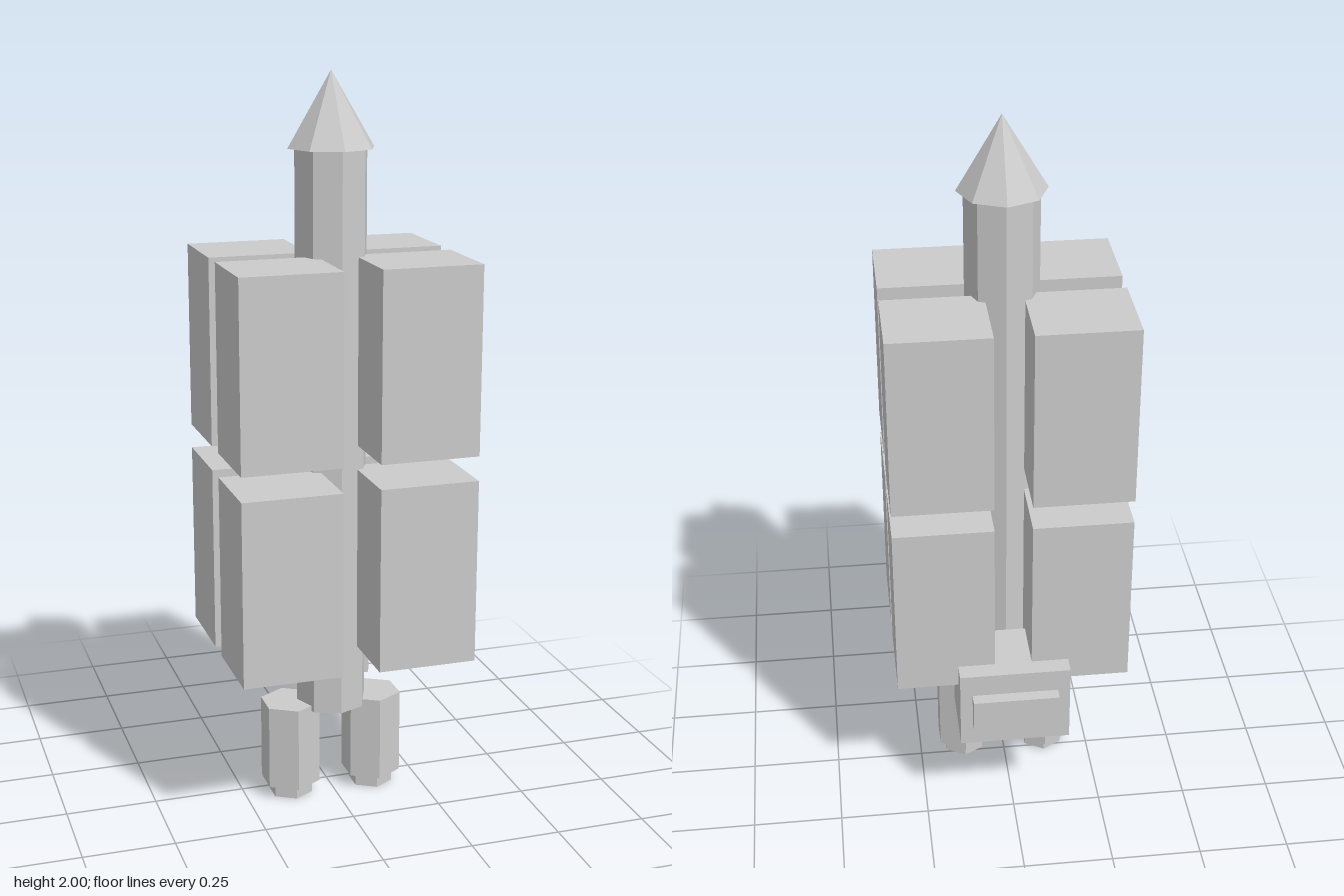
import * as THREE from 'three';

const material = new THREE.MeshStandardMaterial({ color: 0xcccccc, flatShading: true });

export function createModel() {
  const model = new THREE.Group();
  const axisZ = 0.041; // the column stands slightly forward of centre

  const add = (name, geometry, x, y, z) => {
    const mesh = new THREE.Mesh(geometry, material);
    mesh.name = name;
    mesh.position.set(x, y, z);
    model.add(mesh);
  };
  // Upright prism between two heights
  const prism = (name, radius, y0, y1, sides, x) =>
    add(name, new THREE.CylinderGeometry(radius, radius, y1 - y0, sides), x, (y0 + y1) / 2, axisZ);
  // Box between two corners
  const box = (name, [x0, y0, z0], [x1, y1, z1]) =>
    add(name, new THREE.BoxGeometry(x1 - x0, y1 - y0, z1 - z0), (x0 + x1) / 2, (y0 + y1) / 2, (z0 + z1) / 2);

  // Octagonal core and pointed nose
  prism('coreColumn', 0.099, 0.26, 1.805, 8, 0);
  add('noseCone', new THREE.ConeGeometry(0.118, 0.197, 8), 0, 1.9015, axisZ);

  // Two tiers of four cargo blocks around the core
  for (const [tier, y0, y1] of [['lower', 0.446, 0.953], ['upper', 1.02, 1.527]]) {
    for (const [side, x0, x1] of [['Left', 0.051, 0.322], ['Right', -0.322, -0.051]]) {
      box(`${tier}Front${side}Block`, [x0, y0, 0.076], [x1, y1, 0.312]);
      box(`${tier}Back${side}Block`, [x0, y0, -0.23], [x1, y1, 0.007]);
    }
  }

  // Pair of hexagonal thrusters with narrower nozzles
  for (const [side, s] of [['left', 1], ['right', -1]]) {
    prism(`${side}Thruster`, 0.084, 0.037, 0.275, 6, s * 0.119);
    prism(`${side}Nozzle`, 0.062, 0, 0.037, 6, s * 0.119);
  }

  // Housing at the back with a raised panel
  box('rearHousing', [-0.153, 0.275, -0.28], [0.153, 0.509, -0.079]);
  box('rearPanel', [-0.119, 0.345, -0.314], [0.119, 0.443, -0.28]);

  return model;
}
